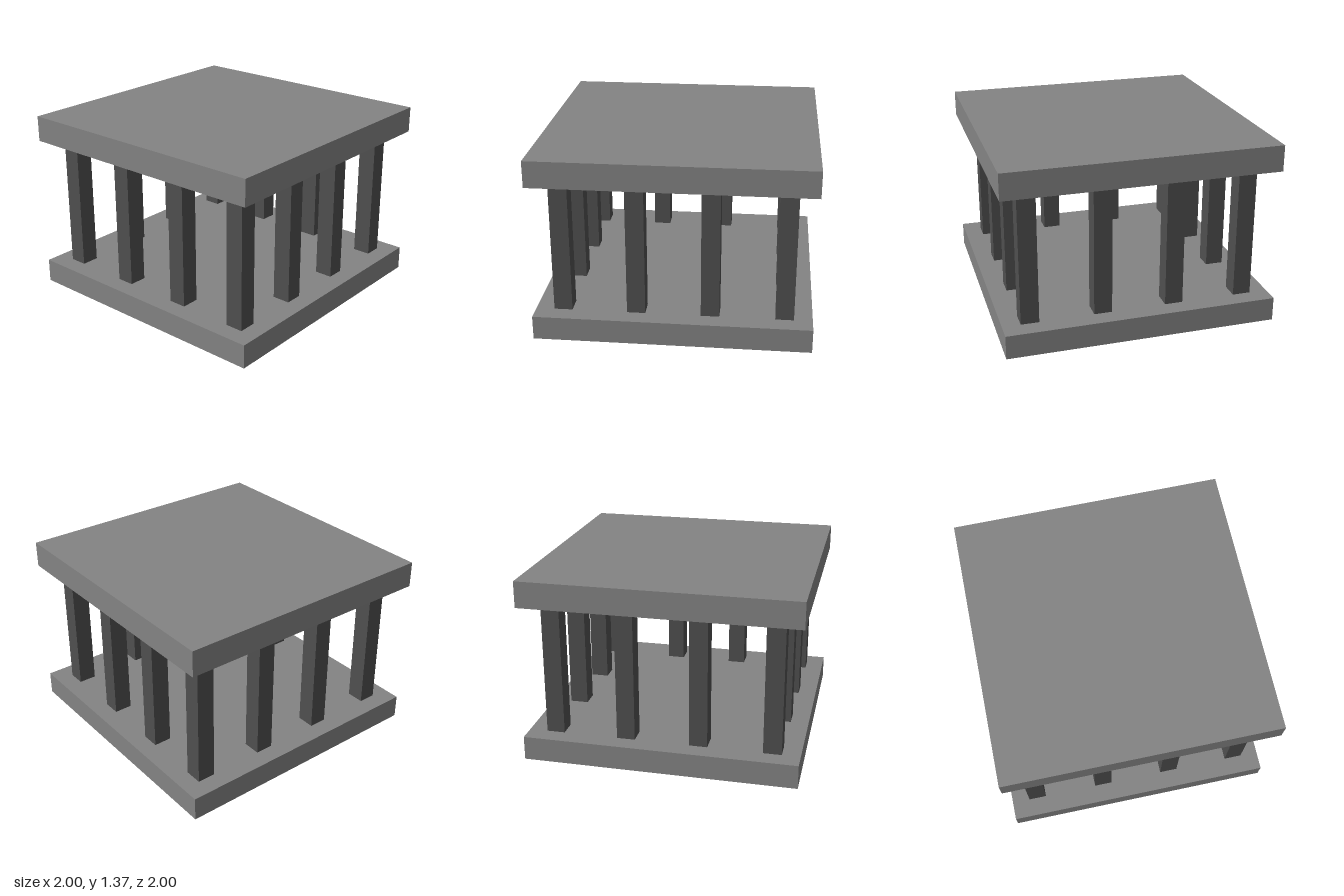
import * as THREE from 'three';

export function createModel() {
  const model = new THREE.Group();
  const slabMaterial = new THREE.MeshStandardMaterial({ color: 0x848484 });
  const pillarMaterial = new THREE.MeshStandardMaterial({ color: 0x505050 });

  // Box spanning bottom..top in height, centred on (x, z)
  function addBox(parent, name, width, bottom, top, material, x = 0, z = 0) {
    const mesh = new THREE.Mesh(new THREE.BoxGeometry(width, top - bottom, width), material);
    mesh.name = name;
    mesh.position.set(x, (bottom + top) / 2, z);
    parent.add(mesh);
  }

  const baseTop = 0.178;
  const roofBottom = 1.172;

  // Square floor and roof slabs
  addBox(model, 'baseSlab', 2, 0, baseTop, slabMaterial);
  addBox(model, 'roofSlab', 2, roofBottom, 1.365, slabMaterial);

  // Ring of twelve square pillars, four along each side
  const pillars = new THREE.Group();
  pillars.name = 'pillars';
  const spots = [-0.8, -0.267, 0.267, 0.8];
  for (const x of spots) {
    for (const z of spots) {
      const onEdge = Math.max(Math.abs(x), Math.abs(z)) > 0.5;
      if (onEdge) addBox(pillars, 'pillar', 0.133, baseTop, roofBottom, pillarMaterial, x, z);
    }
  }
  model.add(pillars);

  return model;
}
